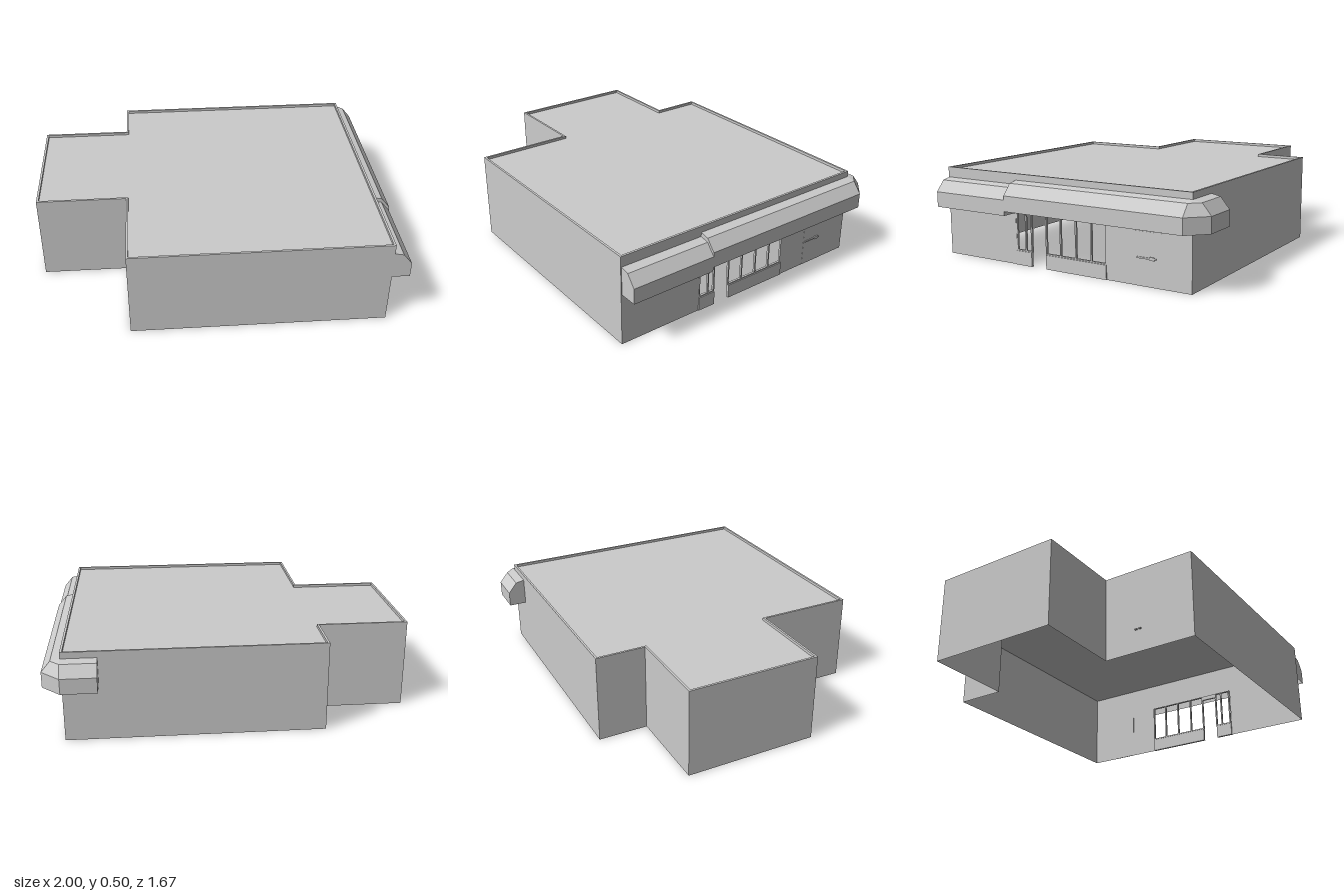
import * as THREE from 'three';

const H = 0.5;          // wall height
const RIM = 0.012;      // parapet thickness
// Footprint as [x, z], walls facing outward
const PLAN = [[0.9, 0.83], [0.9, -0.74], [-0.5, -0.74], [-0.5, -0.46],
  [-1, -0.46], [-1, 0.29], [-0.5, 0.29], [-0.5, 0.83]];
const PLAN_IN = [[0.9 - RIM, 0.83 - RIM], [0.9 - RIM, -0.74 + RIM], [-0.5 + RIM, -0.74 + RIM], [-0.5 + RIM, -0.46 + RIM],
  [-1 + RIM, -0.46 + RIM], [-1 + RIM, 0.29 - RIM], [-0.5 + RIM, 0.29 - RIM], [-0.5 + RIM, 0.83 - RIM]];

const material = new THREE.MeshStandardMaterial({ color: 0xcccccc, side: THREE.DoubleSide, flatShading: true });

function add(parent, name, geometry) {
  const mesh = new THREE.Mesh(geometry, material);
  mesh.name = name;
  parent.add(mesh);
  return mesh;
}

// Box given by its limits on each axis
function block(parent, name, [x0, x1], [y0, y1], [z0, z1]) {
  const mesh = add(parent, name, new THREE.BoxGeometry(x1 - x0, y1 - y0, Math.abs(z1 - z0)));
  mesh.position.set((x0 + x1) / 2, (y0 + y1) / 2, (z0 + z1) / 2);
  return mesh;
}

const toShape = (pts) => new THREE.Shape(pts.map(([a, b]) => new THREE.Vector2(a, b)));

// Sweep an [outward, height] profile through stations [x, z, dirX, dirZ], closing both ends
function awningGeometry(profile, stations) {
  const point = ([x, z, dx, dz], [out, y]) => [x + dx * out, y, z + dz * out];
  const pos = [];
  for (let s = 0; s < stations.length - 1; s++) {
    for (let i = 0; i < profile.length - 1; i++) {
      const a = point(stations[s], profile[i]);
      const b = point(stations[s], profile[i + 1]);
      const c = point(stations[s + 1], profile[i]);
      const d = point(stations[s + 1], profile[i + 1]);
      pos.push(...a, ...b, ...c, ...b, ...d, ...c);
    }
  }
  const foot = [0, profile[profile.length - 1][1]];
  for (const [station, first] of [[stations[0], true], [stations[stations.length - 1], false]]) {
    for (let i = 0; i < profile.length - 1; i++) {
      const a = point(station, foot);
      const b = point(station, profile[i]);
      const c = point(station, profile[i + 1]);
      pos.push(...a, ...(first ? c : b), ...(first ? b : c));
    }
  }
  const geometry = new THREE.BufferGeometry();
  geometry.setAttribute('position', new THREE.Float32BufferAttribute(pos, 3));
  geometry.computeVertexNormals();
  return geometry;
}

export function createModel() {
  const model = new THREE.Group();
  model.name = 'shopBuilding';

  // Plain outer walls; the first edge is the shop wall built below
  for (let i = 1; i < PLAN.length; i++) {
    const [x0, z0] = PLAN[i];
    const [x1, z1] = PLAN[(i + 1) % PLAN.length];
    const dx = x1 - x0, dz = z1 - z0;
    const wall = add(model, 'wall', new THREE.PlaneGeometry(Math.hypot(dx, dz), H));
    wall.position.set((x0 + x1) / 2, H / 2, (z0 + z1) / 2);
    wall.rotation.y = Math.atan2(-dz, dx);
  }

  // Shop wall, drawn in (-z, y), notched for the storefront
  const shopWall = toShape([[-0.83, 0], [-0.345, 0], [-0.345, 0.31], [0.245, 0.31],
    [0.245, 0], [0.74, 0], [0.74, H], [-0.83, H]]);
  add(model, 'shopWall', new THREE.ShapeGeometry(shopWall).rotateY(Math.PI / 2).translate(0.9, 0, 0));

  // Roof slab just below the parapet
  add(model, 'roof', new THREE.ShapeGeometry(toShape(PLAN)).rotateX(Math.PI / 2).translate(0, 0.485, 0));
  const rim = toShape(PLAN);
  rim.holes.push(new THREE.Path(PLAN_IN.map(([x, z]) => new THREE.Vector2(x, z))));
  add(model, 'parapet', new THREE.ExtrudeGeometry(rim, { depth: 0.015, bevelEnabled: false })
    .rotateX(Math.PI / 2).translate(0, H, 0));

  // Storefront: low walls, mullions, rails and door header around open panes
  const front = new THREE.Group();
  front.name = 'storefront';
  model.add(front);
  const bays = [[0.24, 0.345], [-0.245, 0.142]];
  for (const bay of bays) {
    block(front, 'lowWall', [0.89, 0.905], [0, 0.078], bay);
    block(front, 'windowSill', [0.888, 0.9], [0.078, 0.085], bay);
    block(front, 'topRail', [0.888, 0.9], [0.305, 0.31], bay);
  }
  for (const z of [0.34, 0.281, 0.242, 0.142, 0.048, -0.051, -0.149, -0.242]) {
    block(front, 'mullion', [0.888, 0.9], [0.078, 0.31], [z - 0.004, z + 0.004]);
  }
  block(front, 'doorHeader', [0.888, 0.9], [0.284, 0.31], [0.142, 0.242]);

  // Side door with push bar
  block(model, 'sideDoor', [0.897, 0.901], [0, 0.28], [-0.57, -0.42]);
  block(model, 'pushBar', [0.9, 0.906], [0.142, 0.15], [-0.54, -0.43]);
  block(model, 'pushBarLatch', [0.9, 0.907], [0.138, 0.155], [-0.53, -0.505]);

  // Small handle on the opposite wall
  for (const z of [0.485, 0.51]) {
    block(model, 'rearHandle', [-0.51, -0.5], [0.13, 0.137], [z - 0.006, z + 0.006]);
  }

  // Awnings: long one wraps the corner with a chamfer, short one sits lower
  const high = [[0, 0.465], [0.05, 0.455], [0.1, 0.395], [0.1, 0.31]];
  const low = high.map(([out, y]) => [out, y - 0.023]);
  add(model, 'longAwning', awningGeometry(high, [[0.9, 0.34, 1, 0], [0.9, -0.255, 1, 0],
    [0.9, -0.74, 1, 0], [0.9, -0.74, 0, -1], [0.71, -0.74, 0, -1]]));
  add(model, 'shortAwning', awningGeometry(low, [[0.9, 0.825, 1, 0], [0.9, 0.34, 1, 0]]));

  return model;
}
